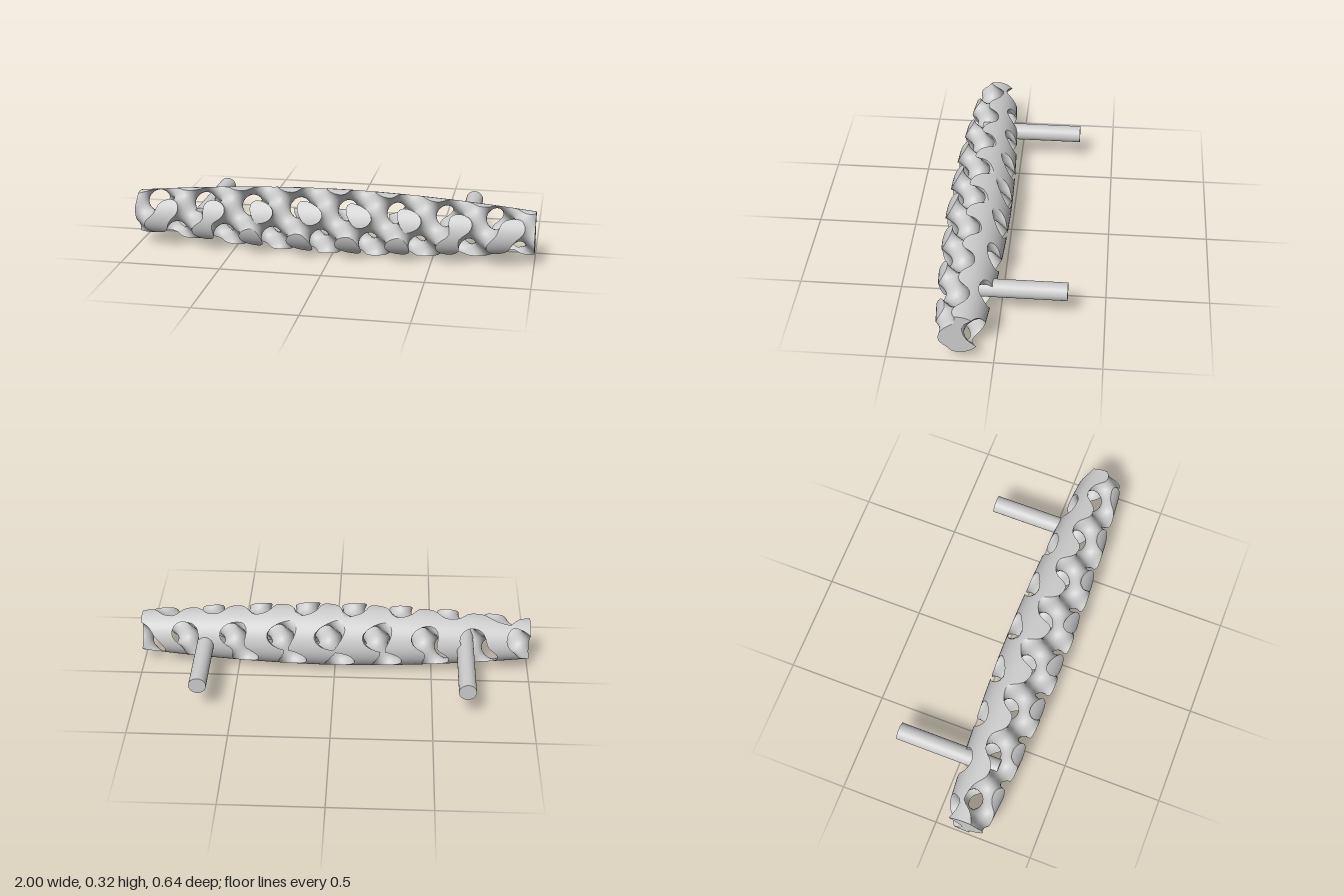
import * as THREE from 'three';

const PERIOD = 0.245, K = 2 * Math.PI / PERIOD, ISO = 0.18;
const CY = 0.162, CZ = 0.16; // bar axis
const NX = 130, NT = 44, NR = 8; // steps along, around and outward

const barRadius = x => 0.162 - 0.057 * Math.pow(Math.abs(x), 1.8);

// Gyroid lattice: solid where positive
function lattice(p) {
  const X = K * p.x, Y = K * (p.y - CY), Z = K * (p.z - CZ);
  return -Math.sin(X) * Math.sin(Y) + Math.cos(Y) * Math.sin(Z) + Math.cos(Z) * Math.cos(X) - ISO;
}

function latticeNormal(p) {
  const X = K * p.x, Y = K * (p.y - CY), Z = K * (p.z - CZ);
  const { sin, cos } = Math;
  return new THREE.Vector3(
    cos(X) * sin(Y) + cos(Z) * sin(X),
    sin(X) * cos(Y) + sin(Y) * sin(Z),
    -cos(Y) * cos(Z) + sin(Z) * cos(X)
  ).normalize();
}

function skinNormal(p) {
  const slope = (barRadius(p.x + 0.001) - barRadius(p.x - 0.001)) / 0.002;
  const n = new THREE.Vector3(0, p.y - CY, p.z - CZ).normalize();
  n.x = -slope;
  return n.normalize();
}

// Grid point; the layers outside the bar repeat its border but count as empty
function gridPoint(i, j, k) {
  const x = -1 + 2 * THREE.MathUtils.clamp(i, 0, NX) / NX;
  const a = j / NT * 2 * Math.PI;
  const r = barRadius(x) * Math.min(k, NR) / NR;
  const p = new THREE.Vector3(x, CY + r * Math.cos(a), CZ + r * Math.sin(a));
  p.f = i < 0 || i > NX || k > NR ? -1 : lattice(p);
  return p;
}

// Six tetrahedra per grid cell, all sharing the diagonal 0-7
const TETS = [[0, 1, 3, 7], [0, 1, 5, 7], [0, 2, 3, 7], [0, 2, 6, 7], [0, 4, 5, 7], [0, 4, 6, 7]];

function latticeGeometry() {
  const positions = [], normals = [];
  const ab = new THREE.Vector3(), ac = new THREE.Vector3();

  function addTriangle(a, b, c, normalAt) {
    ab.subVectors(b, a);
    ac.subVectors(c, a);
    ab.cross(ac);
    if (ab.length() < 1e-9) return;
    const mid = new THREE.Vector3().add(a).add(b).add(c).divideScalar(3);
    const order = ab.dot(normalAt(mid)) < 0 ? [a, c, b] : [a, b, c];
    for (const p of order) {
      const n = normalAt(p);
      positions.push(p.x, p.y, p.z);
      normals.push(n.x, n.y, n.z);
    }
  }

  const cut = (a, b) => new THREE.Vector3().lerpVectors(a, b, a.f / (a.f - b.f));

  function addTet(corners, normalAt) {
    const inn = corners.filter(p => p.f > 0), out = corners.filter(p => p.f <= 0);
    if (!inn.length || !out.length) return;
    if (inn.length === 2) {
      const q = [cut(inn[0], out[0]), cut(inn[0], out[1]), cut(inn[1], out[1]), cut(inn[1], out[0])];
      addTriangle(q[0], q[1], q[2], normalAt);
      addTriangle(q[0], q[2], q[3], normalAt);
    } else {
      const [one, rest] = inn.length === 1 ? [inn[0], out] : [out[0], inn];
      const q = rest.map(p => cut(one, p));
      addTriangle(q[0], q[1], q[2], normalAt);
    }
  }

  // Grid slices are made once and reused by neighbouring cells
  const slice = i => Array.from({ length: NT }, (_, j) =>
    Array.from({ length: NR + 2 }, (_, k) => gridPoint(i, j, k)));
  let near = slice(-1);
  for (let i = -1; i <= NX; i++) {
    const far = slice(i + 1);
    for (let j = 0; j < NT; j++) {
      for (let k = 0; k <= NR; k++) {
        const cell = [];
        for (let c = 0; c < 8; c++) {
          cell.push((c & 1 ? far : near)[(j + (c >> 1 & 1)) % NT][k + (c >> 2)]);
        }
        let normalAt = latticeNormal;
        if (i < 0 || i === NX) {
          const end = new THREE.Vector3(i < 0 ? -1 : 1, 0, 0);
          normalAt = () => end;
        } else if (k === NR) normalAt = skinNormal;
        for (const t of TETS) addTet(t.map(c => cell[c]), normalAt);
      }
    }
    near = far;
  }

  const geometry = new THREE.BufferGeometry();
  geometry.setAttribute('position', new THREE.Float32BufferAttribute(positions, 3));
  geometry.setAttribute('normal', new THREE.Float32BufferAttribute(normals, 3));
  return geometry;
}

export function createModel() {
  const group = new THREE.Group();
  const material = new THREE.MeshStandardMaterial({ color: 0xcccccc });

  // Barrel-shaped lattice handle
  const bar = new THREE.Mesh(latticeGeometry(), material);
  bar.name = 'latticeBar';
  group.add(bar);

  // Mounting rods running back from the bar
  const back = -0.32;
  for (const [name, x, front] of [['rightRod', -0.668, 0.21], ['leftRod', 0.663, 0.111]]) {
    const geometry = new THREE.CylinderGeometry(0.0435, 0.0435, front - back, 48);
    geometry.rotateX(Math.PI / 2);
    const rod = new THREE.Mesh(geometry, material);
    rod.name = name;
    rod.position.set(x, 0.163, (front + back) / 2);
    group.add(rod);
  }
  return group;
}
